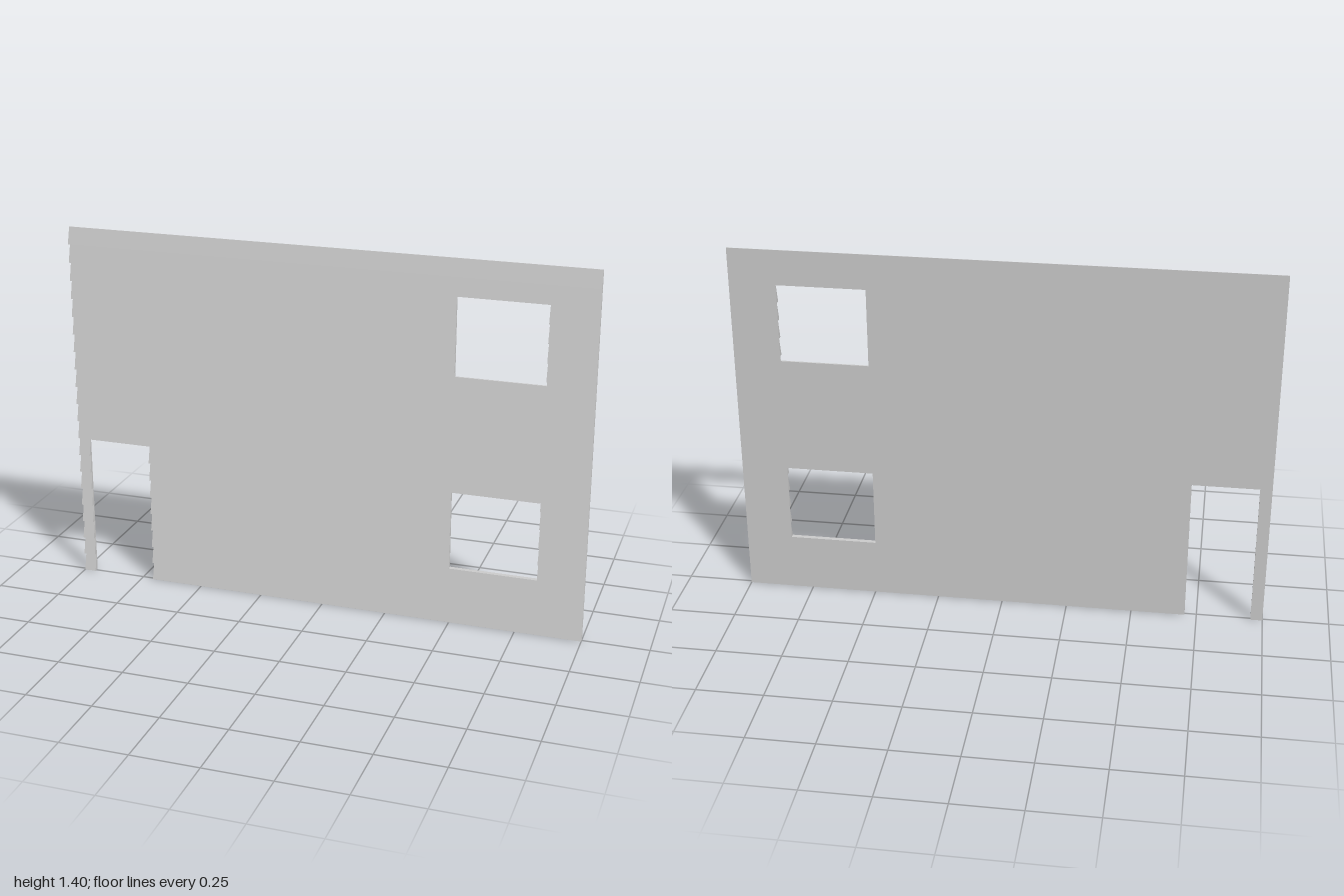
import * as THREE from 'three';

const PITCH = 0.0703;          // height of one board
const HEIGHT = 1.4;
const BACK = -0.01, LIP = 0.01, THIN = -0.008; // depths of a board's back, lower lip and top edge

// openings as [x0, x1, y0, y1]
const openings = {
  door: [-0.955, -0.705, 0, 8 * PITCH],
  lowerWindow: [0.494, 0.825, 0.22, 0.522],
  upperWindow: [0.494, 0.825, 0.966, 18 * PITCH],
};
const holes = Object.values(openings);

const cuts = (list) => [...new Set(list)].sort((a, b) => a - b);

export function createModel() {
  const group = new THREE.Group();
  group.name = 'claddingWall';
  const material = new THREE.MeshStandardMaterial({ color: 0xcccccc, flatShading: true });

  const addMesh = (name, positions) => {
    const geometry = new THREE.BufferGeometry();
    geometry.setAttribute('position', new THREE.Float32BufferAttribute(positions, 3));
    geometry.computeVertexNormals();
    const mesh = new THREE.Mesh(geometry, material);
    mesh.name = name;
    group.add(mesh);
  };
  // corners run counter-clockwise as seen from the visible side
  const quad = (out, a, b, c, d) => out.push(...a, ...b, ...c, ...a, ...c, ...d);

  // cut the wall into cells along board joints and opening edges
  const rows = Array.from({ length: 20 }, (_, i) => i * PITCH);
  const xs = cuts([-1, 1, ...holes.flatMap((h) => [h[0], h[1]])]);
  const ys = cuts([...rows, HEIGHT, ...holes.flatMap((h) => [h[2], h[3]])]);

  const solid = (i, j) => {
    if (i < 0 || j < 0 || i >= xs.length - 1 || j >= ys.length - 1) return false;
    const x = (xs[i] + xs[i + 1]) / 2, y = (ys[j] + ys[j + 1]) / 2;
    return !holes.some((h) => x > h[0] && x < h[1] && y > h[2] && y < h[3]);
  };
  // front depth at height y on the board that holds band j
  const depth = (j, y) => {
    const row = Math.floor((ys[j] + ys[j + 1]) / 2 / PITCH);
    const top = Math.min((row + 1) * PITCH, HEIGHT);
    const t = (y - row * PITCH) / (top - row * PITCH);
    return LIP + (THIN - LIP) * t;
  };

  const boards = [], backing = [], edges = [];
  for (let j = 0; j < ys.length - 1; j++) {
    const y0 = ys[j], y1 = ys[j + 1];
    const z0 = depth(j, y0), z1 = depth(j, y1);
    for (let i = 0; i < xs.length - 1; i++) {
      if (!solid(i, j)) continue;
      const a = xs[i], b = xs[i + 1];
      // sloping face and flat back
      quad(boards, [a, y0, z0], [b, y0, z0], [b, y1, z1], [a, y1, z1]);
      quad(backing, [b, y0, BACK], [a, y0, BACK], [a, y1, BACK], [b, y1, BACK]);
      // underside: an overlapping lip, or the full edge over an opening
      const under = solid(i, j - 1) ? depth(j - 1, y0) : BACK;
      if (z0 - under > 1e-5) {
        quad(boards, [a, y0, under], [b, y0, under], [b, y0, z0], [a, y0, z0]);
      }
      // exposed top and side edges
      if (!solid(i, j + 1)) quad(edges, [a, y1, z1], [b, y1, z1], [b, y1, BACK], [a, y1, BACK]);
      if (!solid(i - 1, j)) quad(edges, [a, y0, BACK], [a, y0, z0], [a, y1, z1], [a, y1, BACK]);
      if (!solid(i + 1, j)) quad(edges, [b, y0, z0], [b, y0, BACK], [b, y1, BACK], [b, y1, z1]);
    }
  }
  addMesh('lapBoards', boards);
  addMesh('backFace', backing);
  addMesh('wallAndOpeningEdges', edges);
  return group;
}
